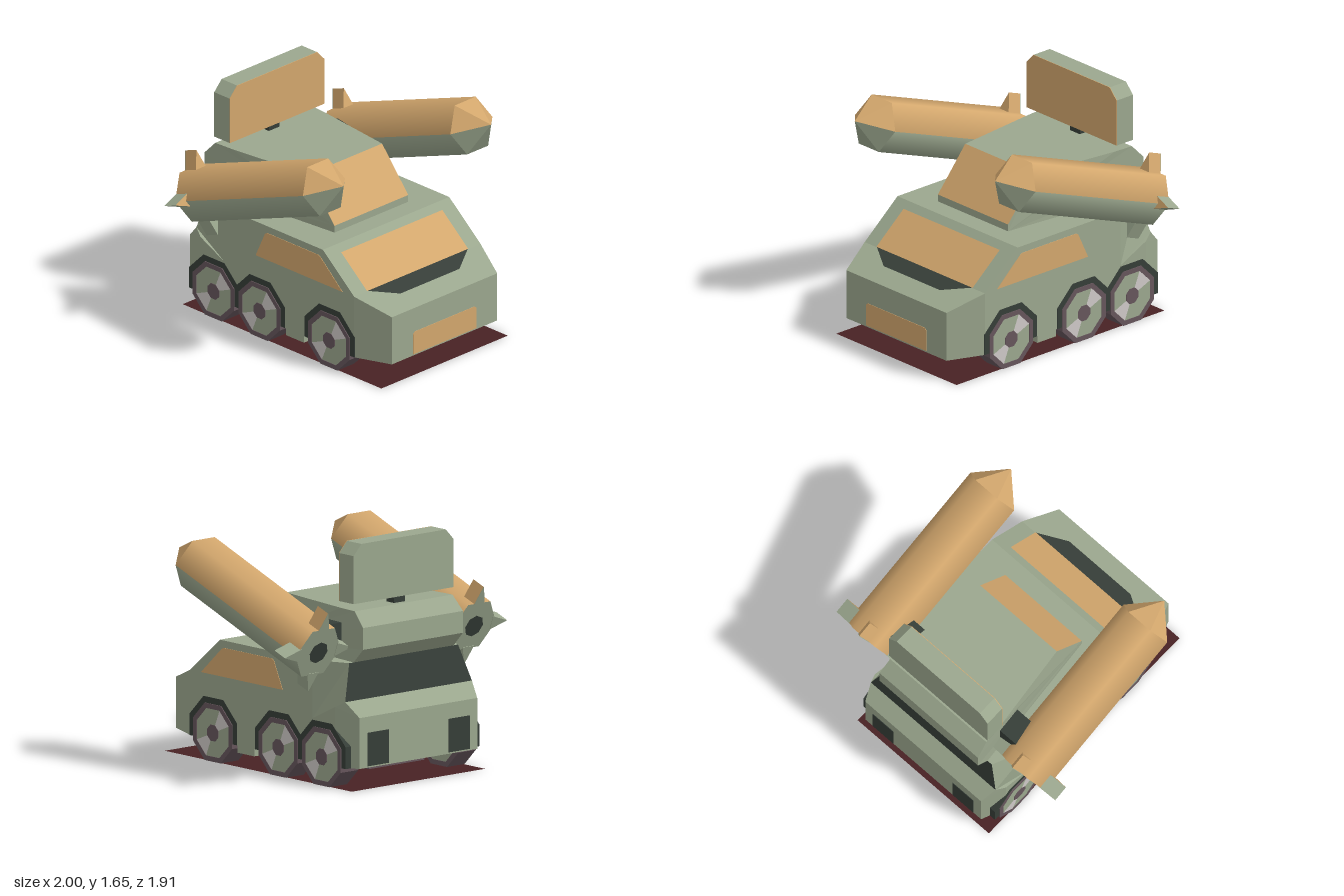
import * as THREE from 'three';

const mat = (name, color) => { const m = new THREE.MeshStandardMaterial({ color }); m.name = name; return m; };

export function createModel() {
  const green = mat('paleGreen', 0x9ba78e), tan = mat('tan', 0xd3a76d), dark = mat('darkGreen', 0x363e38);
  const tyre = mat('mauveRubber', 0x66565c), pale = mat('paleGrey', 0xcfc9c7), red = mat('darkRed', 0x482224);
  red.side = THREE.DoubleSide;
  const root = new THREE.Group();
  const add = (name, geo, material, parent = root) => {
    const m = new THREE.Mesh(geo, material);
    m.name = name;
    parent.add(m);
    return m;
  };
  const box = (name, material, x0, x1, y0, y1, z0, z1) =>
    add(name, new THREE.BoxGeometry(x1 - x0, y1 - y0, z1 - z0)
      .translate((x0 + x1) / 2, (y0 + y1) / 2, (z0 + z1) / 2), material);

  // Flat-shaded geometry from convex polygons
  const facets = (polys) => {
    const pos = [];
    for (const p of polys) for (let i = 1; i < p.length - 1; i++) pos.push(...p[0], ...p[i], ...p[i + 1]);
    const g = new THREE.BufferGeometry();
    g.setAttribute('position', new THREE.Float32BufferAttribute(pos, 3));
    g.computeVertexNormals();
    return g;
  };
  const flip = ([x, y, z]) => [-x, y, z];
  const mirrored = (polys) => [...polys, ...polys.map((p) => p.map(flip).reverse())];
  const across = (a, b) => [flip(a), a, b, flip(b)];
  const shape = (pts) => new THREE.Shape(pts.map(([x, y]) => new THREE.Vector2(x, y)));
  const extrude = (s, depth) => new THREE.ExtrudeGeometry(s, { depth, bevelEnabled: false });
  // Outline drawn in (z, y), outer face at x
  const sidePrism = (s, depth, x) => extrude(s, depth).rotateY(-Math.PI / 2).translate(x, 0, 0);
  const octagon = (r) => Array.from({ length: 8 }, (_, i) => {
    const a = Math.PI / 8 + i * Math.PI / 4;
    return [r * Math.cos(a), r * Math.sin(a)];
  });

  // Hull
  const A = [.5, .15, .95], B = [.5, .5, .95], C = [.6, .6, .69], C0 = [.6, .15, .69], D = [.6, .85, .39];
  const E = [.6, .85, -.55], F = [.6, .45, -.55], F0 = [.6, .15, -.55], P = [.6, .15, -.78], Q = [.6, .56, -.78];
  const I = [.53, .5, -.95], J = [.53, .15, -.95], K = [.57, .6, -.85], L = [.49, .85, -.8];
  const hullStrip = [[A, B], [B, C], [C, D], [D, E], [E, L], [K, I], [I, J], [J, P], [P, C0], [C0, A]];
  add('hull', facets([
    ...hullStrip.map(([a, b]) => across(a, b)),
    ...mirrored([[A, C0, C, B], [C0, F0, E, D, C], [F0, P, Q, F], [P, J, I, Q], [Q, I, K], [F, Q, K], [F, K, L, E]]),
  ]), green);
  add('rearPanel', facets([across(L, K)]), dark);

  // Painted windows, vents and doors
  add('windshield', facets([across([.48, .604, .693], [.48, .811, .445])]), tan);
  add('hoodVent', facets([across([.28, .559, .81], [.48, .605, .69])]), dark);
  add('grille', extrude(shape([[-.3, .16], [.3, .16], [.3, .31], [.285, .325], [-.285, .325], [-.3, .31]]), .004)
    .translate(0, 0, .949), tan);
  for (const s of [-1, 1]) {
    const c = s * .365;
    box('rearDoor', dark, c - .095, c + .095, .16, .39, -.954, -.946);
  }
  const windowShape = shape([[.58, .6], [.37, .79], [.35, .8], [-.14, .8], [-.16, .79], [-.25, .6]]);

  // Underbody
  box('sideStep', green, -.6, .6, .1, .16, .04, .21);
  const base = add('basePlate', new THREE.PlaneGeometry(1.2, 1.9).rotateX(-Math.PI / 2), red);
  base.position.y = .004;

  // Wheels, arches and side windows
  const R = 1 / Math.cos(Math.PI / 8);
  const tyreShape = shape(octagon(.197 * R));
  tyreShape.holes.push(shape(octagon(.163 * R)));
  const archShape = shape([[-.24, -.05], [.24, -.05], [.24, .1], [.1, .24], [-.1, .24], [-.24, .1]]);
  const wheelZ = [.455, -.21, -.65];
  for (const s of [1, -1]) {
    const side = new THREE.Group();
    side.name = s > 0 ? 'leftSide' : 'rightSide';
    if (s < 0) side.rotation.y = Math.PI;
    root.add(side);
    const win = sidePrism(windowShape, .006, .603);
    if (s < 0) win.scale(1, 1, -1);
    if (s < 0) { // restore the winding after the flip
      const p = win.attributes.position, n = win.attributes.normal;
      for (let i = 0; i < p.count; i += 3) for (const a of [p, n]) {
        const t = [a.getX(i), a.getY(i), a.getZ(i)];
        a.setXYZ(i, a.getX(i + 1), a.getY(i + 1), a.getZ(i + 1));
        a.setXYZ(i + 1, ...t);
      }
    }
    add('sideWindow', win, tan, side);
    for (const wz of wheelZ) {
      const wheel = new THREE.Group();
      wheel.name = 'wheel';
      wheel.position.set(0, .2, wz * s);
      side.add(wheel);
      add('wheelArch', sidePrism(archShape, .1, .602), dark, wheel);
      add('tyre', sidePrism(tyreShape, .158, .608), tyre, wheel);
      add('wheelDisc', sidePrism(shape(octagon(.165 * R)), .15, .604), green, wheel);
      add('hubCap', sidePrism(shape(octagon(.055 * R)), .02, .608), tyre, wheel);
      for (const k of [0, 1]) {
        add('wheelWedge', new THREE.RingGeometry(.055, .163 * R, 1, 1, Math.PI / 8 + k * Math.PI, Math.PI / 4)
          .rotateY(Math.PI / 2).translate(.606, 0, 0), pale, wheel);
      }
    }
  }
  for (const wz of wheelZ) box('axleHousing', tyre, -.25, .25, .08, .16, wz - .08, wz + .08);

  // Turret
  const T = [[.35, .85, .25], [.35, .9, .25], [.35, 1.2, 0], [.43, 1.2, -.65], [.44, 1.2, -.8],
    [.45, 1.1, -.895], [.45, .95, -.895], [.45, .85, -.8]];
  const turretStrip = T.map((p, i) => across(p, T[(i + 1) % T.length])).filter((_, i) => i !== 1);
  add('turret', facets([...turretStrip, ...mirrored([[T[0], ...T.slice(1).reverse()]])]), green);
  add('turretWindow', facets([across(T[1], T[2])]), tan);

  // Radar panel
  const radar = shape([[-.45, 1.25], [.45, 1.25], [.45, 1.58], [.38, 1.655], [-.38, 1.655], [-.45, 1.58]]);
  add('radarPanel', extrude(radar, .146).translate(0, 0, -.8), green);
  add('radarFace', extrude(radar, .004).translate(0, 0, -.654), tan);
  box('radarMount', dark, -.05, .05, 1.19, 1.26, -.76, -.68);

  // Missiles
  const half = Math.PI / 2;
  const fin = shape([[-.05, .16], [.05, .16], [0, .3]]);
  for (const s of [-1, 1]) {
    const xs = [s * .4, s * .58].sort((a, b) => a - b);
    box('missileMount', dark, xs[0], xs[1], .9, 1.1, -.65, -.46);
    const missile = new THREE.Group();
    missile.name = 'missile';
    missile.position.set(s * .7, .94, -.72);
    missile.rotation.x = -Math.PI / 9;
    root.add(missile);
    for (const [part, m, start] of [['upper', tan, half], ['lower', green, -half]]) {
      add(part + 'Body', new THREE.CylinderGeometry(.2, .2, 1.3, 3, 1, true, start, Math.PI)
        .rotateX(half).translate(0, 0, .65), m, missile);
      const nose = new THREE.ConeGeometry(.2, .2, 3, 1, true, start, Math.PI)
        .rotateX(half).translate(0, 0, 1.4).toNonIndexed();
      nose.computeVertexNormals();
      add(part + 'Nose', nose, m, missile);
    }
    add('tailCap', new THREE.CircleGeometry(.2, 6).rotateY(Math.PI), green, missile);
    add('nozzle', new THREE.CircleGeometry(.08, 8).rotateY(Math.PI).translate(0, 0, -.006), dark, missile);
    [[tan, tan], [tan, green], [green, green], [tan, green]].forEach((mats, k) => {
      add('fin', extrude(fin, .11), mats, missile).rotation.z = k * half;
      add('finBack', extrude(fin, .004).translate(0, 0, -.004), green, missile).rotation.z = k * half;
    });
  }
  return root;
}
